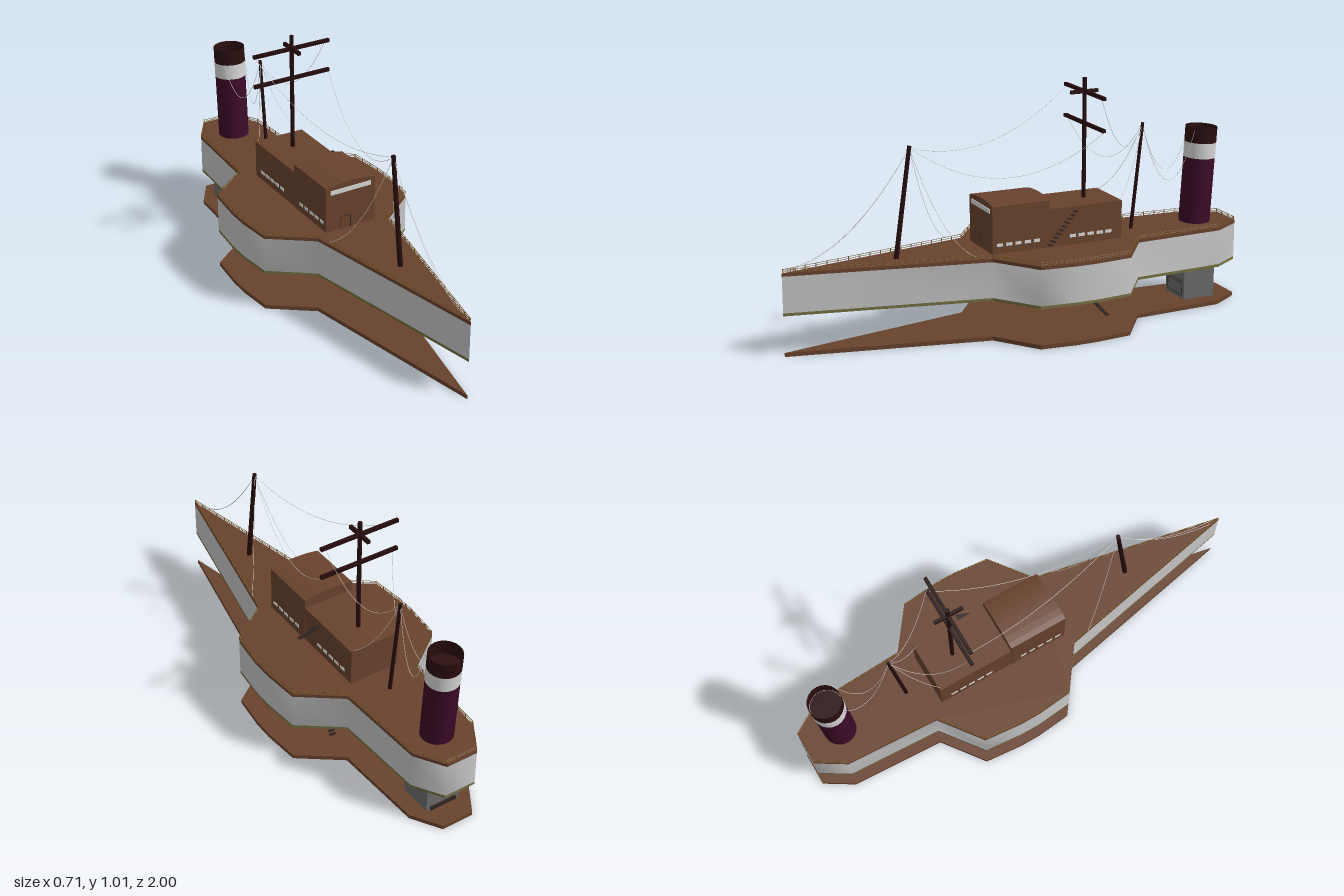
import * as THREE from 'three';

const mat = (name, color, side = THREE.FrontSide) => {
  const m = new THREE.MeshStandardMaterial({ color, side });
  m.name = name;
  return m;
};

// Half outline of the deck as [x, z], stern to bow
const HALF = [[0.07, -1], [0.145, -0.88], [0.165, -0.48], [0.34, -0.35], [0.355, -0.19],
  [0.355, -0.1], [0.34, 0.05], [0.165, 0.18], [0, 1]];
// Full loop from the bow round the stern and back to the bow
const LOOP = [...HALF.slice().reverse(), ...HALF.map(([x, z]) => [-x, z])];

export function createModel() {
  const group = new THREE.Group();
  const M = {
    wood: mat('brown wood', 0x68422d),
    hull: mat('pale grey hull', 0xc6c6c6, THREE.DoubleSide),
    keel: mat('olive underside', 0x747040),
    grey: mat('pillar grey', 0x6a6a6a),
    burgundy: mat('burgundy', 0x3c0a27),
    soot: mat('dark maroon', 0x2b0d0e, THREE.DoubleSide),
    mast: mat('mast dark', 0x250b0c),
    white: mat('white', 0xd6d6d6),
    rail: mat('rail bronze', 0x755424),
    dark: mat('dark trim', 0x302420),
  };
  const add = (name, geo, material, parent = group) => {
    const mesh = new THREE.Mesh(geo, material);
    mesh.name = name;
    parent.add(mesh);
    return mesh;
  };
  const sub = (name) => {
    const g = new THREE.Group();
    g.name = name;
    group.add(g);
    return g;
  };
  const box = (name, w, h, d, x, y, z, material, parent) => {
    const m = add(name, new THREE.BoxGeometry(w, h, d), material, parent);
    m.position.set(x, y, z);
    return m;
  };
  // Cylinder or bar between two points
  const rod = (name, a, b, r0, r1, material, parent, sides = 8, open = false) => {
    const p = new THREE.Vector3(...a), q = new THREE.Vector3(...b);
    const m = add(name, new THREE.CylinderGeometry(r1, r0, p.distanceTo(q), sides, 1, open), material, parent);
    m.position.copy(p).add(q).multiplyScalar(0.5);
    m.quaternion.setFromUnitVectors(new THREE.Vector3(0, 1, 0), q.sub(p).normalize());
    return m;
  };
  // Horizontal slab with the deck outline
  const slab = (name, y0, y1, material) => {
    const shape = new THREE.Shape(LOOP.slice(0, -1).map(([x, z]) => new THREE.Vector2(x, -z)));
    const geo = new THREE.ExtrudeGeometry(shape, { depth: y1 - y0, bevelEnabled: false });
    geo.rotateX(-Math.PI / 2);
    geo.translate(0, y0, 0);
    return add(name, geo, material);
  };

  // Floating hull and the base plate
  slab('basePlate', 0, 0.017, M.wood);
  slab('hullBottom', 0.168, 0.18, M.keel);
  slab('deck', 0.33, 0.344, M.wood);
  // Smooth hull sides, left open at the sharp bow
  const pos = [], idx = [];
  LOOP.forEach(([x, z], i) => {
    pos.push(x, 0.18, z, x, 0.33, z);
    if (i) {
      const a = 2 * i - 2;
      idx.push(a, a + 2, a + 1, a + 1, a + 2, a + 3);
    }
  });
  const wall = new THREE.BufferGeometry();
  wall.setAttribute('position', new THREE.Float32BufferAttribute(pos, 3));
  wall.setIndex(idx);
  wall.computeVertexNormals();
  add('hullSides', wall, M.hull);

  // Railing with posts
  const railing = sub('railing');
  for (let i = 0; i < LOOP.length - 1; i++) {
    const [ax, az] = LOOP[i], [bx, bz] = LOOP[i + 1];
    const len = Math.hypot(bx - ax, bz - az), n = Math.max(1, Math.round(len / 0.05));
    for (const y of [0.351, 0.359]) {
      rod('rail', [ax * 0.993, y, az * 0.995], [bx * 0.993, y, bz * 0.995], 0.0012, 0.0012, M.rail, railing, 6);
    }
    for (let k = 0; k < n; k++) {
      const t = k / n;
      box('railPost', 0.003, 0.018, 0.003, (ax + (bx - ax) * t) * 0.993, 0.351, (az + (bz - az) * t) * 0.995, M.rail, railing);
    }
  }

  // Deckhouse: round-topped bridge in front, lower cabin behind
  const house = sub('deckhouse');
  const profile = new THREE.Shape();
  profile.moveTo(-0.115, 0.34);
  profile.lineTo(0.115, 0.34);
  profile.lineTo(0.115, 0.542);
  profile.bezierCurveTo(0.06, 0.558, -0.06, 0.558, -0.115, 0.542);
  profile.closePath();
  const bridge = new THREE.ExtrudeGeometry(profile, { depth: 0.255, bevelEnabled: false, curveSegments: 8 });
  bridge.translate(0, 0, -0.095);
  add('bridge', bridge, M.wood, house);
  box('rearCabin', 0.226, 0.165, 0.33, 0, 0.4225, -0.26, M.wood, house);
  box('bridgeWindow', 0.188, 0.019, 0.004, 0, 0.519, 0.161, M.white, house);
  const doorLine = (w, h, x, y) => box('doorFrame', w, h, 0.003, x, y, 0.161, M.dark, house);
  doorLine(0.0015, 0.055, -0.05, 0.372);
  doorLine(0.0015, 0.055, -0.001, 0.372);
  doorLine(0.05, 0.0015, -0.0255, 0.4);
  for (const s of [1, -1]) {
    for (let i = 0; i < 5; i++) {
      box('bridgePorthole', 0.004, 0.013, 0.027, s * 0.115, 0.381, 0.127 - i * 0.041, M.white, house);
      box('cabinPorthole', 0.004, 0.013, 0.029, s * 0.113, 0.381, -0.2 - i * 0.041, M.white, house);
    }
  }

  // Open stairs: deck to cabin roof, and base to hull
  const stairs = (name, x, y0, z0, y1, z1, n) => {
    const g = sub(name);
    for (let i = 0; i < n; i++) {
      const t = i / (n - 1);
      box('step', 0.028, 0.003, 0.014, x, y0 + (y1 - y0) * t, z0 + (z1 - z0) * t, M.dark, g);
    }
  };
  stairs('upperStairs', 0.129, 0.358, -0.09, 0.487, -0.205, 10);
  stairs('lowerStairs', 0.144, 0.03, -0.345, 0.155, -0.23, 11);
  box('stairHatch', 0.05, 0.004, 0.07, 0.144, 0.167, -0.225, M.dark);

  // Support pillar with framed panels
  const pillar = sub('pillar');
  box('pillarBody', 0.154, 0.155, 0.147, 0, 0.0925, -0.827, M.grey, pillar);
  box('pillarFoot', 0.12, 0.016, 0.008, 0, 0.026, -0.904, M.dark, pillar);
  for (const y of [0.033, 0.085, 0.094]) box('panelLine', 0.118, 0.002, 0.003, 0, y, -0.753, M.dark, pillar);
  for (const x of [-0.059, 0.059]) box('panelSide', 0.002, 0.062, 0.003, x, 0.064, -0.753, M.dark, pillar);

  // Raked funnel in three bands, open at the top
  const funnel = sub('funnel');
  const at = (y) => [0, y, -0.839 - (y - 0.34) * 0.058];
  rod('funnelBody', at(0.342), at(0.625), 0.067, 0.067, M.burgundy, funnel, 20);
  rod('funnelBand', at(0.625), at(0.691), 0.068, 0.068, M.white, funnel, 20);
  rod('funnelTop', at(0.691), at(0.757), 0.068, 0.068, M.soot, funnel, 20, true);
  rod('funnelLining', at(0.69), at(0.694), 0.066, 0.066, M.soot, funnel, 20);

  // Masts and yards
  const masts = sub('masts');
  rod('foreMast', [0, 0.342, 0.528], [0, 0.797, 0.464], 0.011, 0.009, M.mast, masts);
  rod('rearMast', [0, 0.342, -0.53], [0, 0.797, -0.578], 0.008, 0.007, M.mast, masts);
  rod('mainMast', [0, 0.5, -0.305], [0, 1.01, -0.305], 0.009, 0.009, M.mast, masts);
  for (const y of [0.82, 0.952]) box('yard', 0.356, 0.014, 0.014, 0, y, -0.305, M.mast, masts);
  box('crossArm', 0.014, 0.014, 0.125, 0, 0.952, -0.303, M.mast, masts);

  // Sagging ropes as [start, end, sag]
  const rigging = sub('rigging');
  const fore = [0, 0.79, 0.464], aft = [0, 0.79, -0.577];
  const ropes = [
    [fore, [-0.17, 0.945, -0.305], 0.105],
    [fore, [0.175, 0.815, -0.305], 0.155],
    [[0.155, 0.945, -0.305], aft, 0.14],
    [[-0.155, 0.815, -0.305], aft, 0.155],
    [aft, [0.045, 0.752, -0.805], 0.23],
    [aft, [-0.05, 0.69, -0.81], 0.16],
  ];
  // Paired stays to bow, deck and cabin roof
  for (const s of [1, -1]) {
    ropes.push([fore, [s * 0.006, 0.36, 0.95], 0.085],
      [fore, [s * 0.155, 0.358, 0.25], 0.085],
      [aft, [s * 0.1, 0.505, -0.42], 0.05]);
  }
  for (const [a, b, sag] of ropes) {
    const p = new THREE.Vector3(...a), q = new THREE.Vector3(...b);
    const mid = p.clone().add(q).multiplyScalar(0.5);
    mid.y -= 2 * sag;
    add('rope', new THREE.TubeGeometry(new THREE.QuadraticBezierCurve3(p, mid, q), 24, 0.001, 6), M.white, rigging);
  }
  return group;
}
